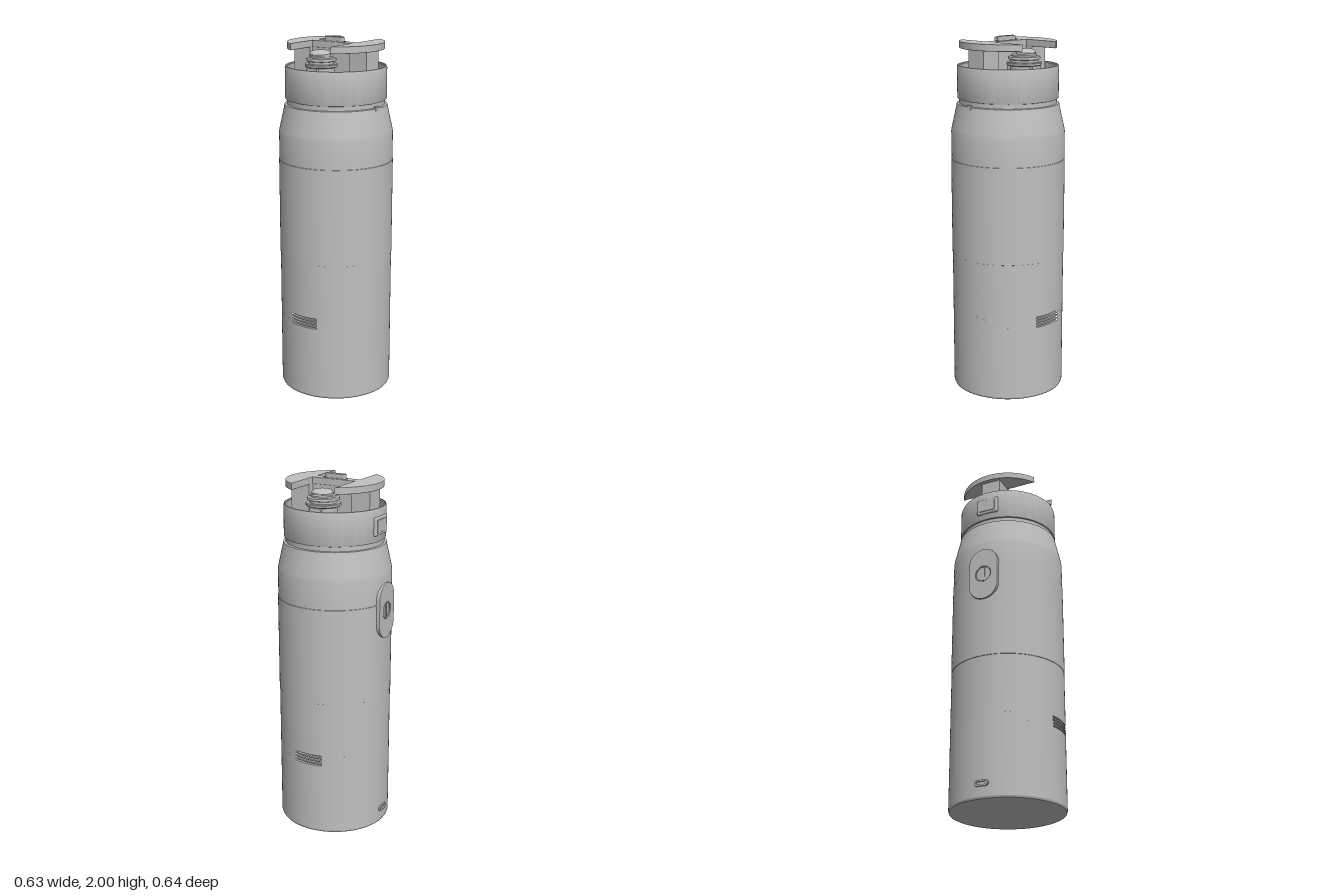
import * as THREE from 'three';
import { toCreasedNormals } from 'three/addons/utils/BufferGeometryUtils.js';
import { RoundedBoxGeometry } from 'three/addons/geometries/RoundedBoxGeometry.js';

const grey = new THREE.MeshStandardMaterial({ color: 0xc0c0c0 });
grey.name = 'satin grey';

const R = 0.315;

function add(parent, name, geometry, x = 0, y = 0, z = 0) {
  const mesh = new THREE.Mesh(geometry, grey);
  mesh.name = name;
  mesh.position.set(x, y, z);
  parent.add(mesh);
  return mesh;
}

// Lathe with crisp edges; start and sweep are angles from the front
function turned(points, start = 0, sweep = Math.PI * 2, segments = 96) {
  const pts = points.map(([r, y]) => new THREE.Vector2(r, y));
  return toCreasedNormals(new THREE.LatheGeometry(pts, segments, start, sweep), 0.35);
}

// Rounded bar outline, w by h with semicircular ends along the long side
function capsule(w, h, Type = THREE.Shape) {
  const r = Math.min(w, h) / 2, dx = w / 2 - r, dy = h / 2 - r;
  const s = new Type();
  if (h >= w) {
    s.absarc(0, dy, r, 0, Math.PI, false);
    s.absarc(0, -dy, r, Math.PI, Math.PI * 2, false);
  } else {
    s.absarc(dx, 0, r, -Math.PI / 2, Math.PI / 2, false);
    s.absarc(-dx, 0, r, Math.PI / 2, Math.PI * 1.5, false);
  }
  s.closePath();
  return s;
}

function slab(shape, depth, bevel = 0) {
  return new THREE.ExtrudeGeometry(shape, {
    depth: depth - 2 * bevel, curveSegments: 32, bevelEnabled: bevel > 0,
    bevelThickness: bevel, bevelSize: bevel, bevelOffset: -bevel, bevelSegments: 2,
  }).translate(0, 0, bevel);
}

// Stacked discs with a tilted oval tip
function earbud(parent, name, x, r, side) {
  const bud = new THREE.Group();
  bud.name = name;
  bud.position.x = x;
  parent.add(bud);
  add(bud, 'budBody', turned([
    [r * 0.8, 1.78], [r * 0.8, 1.85], [r * 0.96, 1.85], [r, 1.854], [r, 1.864], [r * 0.96, 1.868],
    [r * 0.78, 1.868], [r * 0.78, 1.88], [r * 0.9, 1.883], [r * 0.92, 1.89], [r * 0.9, 1.897],
    [r * 0.72, 1.9], [r * 0.72, 1.908], [r * 0.6, 1.915], [0, 1.915],
  ], 0, Math.PI * 2, 48));
  const tip = add(bud, 'budTip', turned([
    [0.9, -0.02], [1, -0.01], [1, 0.008], [0.9, 0.015], [0.8, 0.017], [0, 0.019],
  ], 0, Math.PI * 2, 40), side * 0.012, 1.917, 0);
  tip.scale.set(0.045, 1, 0.061);
  tip.rotation.z = -side * 0.15;
}

export function createModel() {
  const model = new THREE.Group();
  model.name = 'bottleCase';
  const g = new THREE.Group();
  g.name = 'case';
  g.position.z = 0.004;
  model.add(g);

  // Lower shell up to the vents
  const ventY = [0.418, 0.435, 0.452, 0.469], ventH = 0.009, half = 0.272;
  add(g, 'lowerBody', turned([
    [0, 0], [R - 0.012, 0], [R - 0.004, 0.004], [R, 0.014], [R, ventY[0]],
  ]));

  // Vent rows: recessed slots on both sides, solid wall elsewhere
  ventY.forEach((y, i) => {
    const top = y + ventH, next = ventY[i + 1] ?? 0.5;
    for (const a of [Math.PI / 2, Math.PI * 1.5]) {
      add(g, 'ventSlot', turned([[R, y], [R - 0.014, y], [R - 0.014, top], [R, top]], a - half, half * 2, 16));
      add(g, 'ventWall', turned([[R, y], [R, top]], a + half, Math.PI - half * 2, 40));
    }
    add(g, 'ventRib', turned([[R, top], [R, next]]));
  });

  // Main body with slightly raised sleeve, shoulder, groove, collar and hollow top
  add(g, 'upperBody', turned([
    [R, 0.5], [R, 0.79], [R + 0.002, 0.791], [R + 0.002, 1.329], [R, 1.33], [R, 1.48],
    [0.312, 1.5], [0.286, 1.615], [0.282, 1.636], [0.27, 1.638], [0.27, 1.662],
  ]));
  add(g, 'collar', turned([
    [0.27, 1.662], [0.277, 1.664], [0.279, 1.67], [0.279, 1.835], [0.276, 1.844], [0.272, 1.846],
    [0.271, 1.84], [0.266, 1.838], [0.266, 1.78], [0, 1.78],
  ]));
  add(g, 'frontCatch', new THREE.BoxGeometry(0.03, 0.024, 0.02), -0.015, 1.634, 0.275);

  // Lid plate: disc with a square bay cut from each side
  const lidR = 0.266, a = Math.asin(0.13 / lidR);
  const lid = new THREE.Shape();
  lid.absarc(0, 0, lidR, a, Math.PI - a, false);
  lid.lineTo(-0.04, 0.13);
  lid.lineTo(-0.04, -0.13);
  lid.absarc(0, 0, lidR, Math.PI + a, Math.PI * 2 - a, false);
  lid.lineTo(0.017, -0.13);
  lid.lineTo(0.017, 0.13);
  lid.closePath();
  add(g, 'lidPlate', slab(lid, 0.037, 0.003), 0, 1.937, 0).rotation.x = -Math.PI / 2;

  // Supports under the lid
  for (const s of [1, -1]) {
    add(g, 'lidSupport', new THREE.BoxGeometry(0.115, 0.16, 0.11), -0.002, 1.86, s * 0.186);
  }
  add(g, 'bridgeWall', new THREE.BoxGeometry(0.05, 0.16, 0.27), -0.012, 1.86, 0);

  // Handle ridge with its border on the bridge
  const border = capsule(0.042, 0.142);
  border.holes.push(capsule(0.032, 0.132, THREE.Path));
  add(g, 'ridgeBorder', slab(border, 0.004), -0.012, 1.973, 0).rotation.x = -Math.PI / 2;
  add(g, 'handleRidge', slab(capsule(0.03, 0.126), 0.03, 0.003), -0.012, 1.97, 0).rotation.x = -Math.PI / 2;

  // Earbuds with their holding tabs
  earbud(g, 'rightEarbud', -0.133, 0.088, -1);
  earbud(g, 'leftEarbud', 0.122, 0.095, 1);
  for (const x of [-0.212, 0.205]) {
    add(g, 'outerTab', new THREE.BoxGeometry(0.018, 0.07, 0.066), x, 1.815, 0);
  }
  for (const x of [-0.049, 0.024]) {
    add(g, 'innerTab', new THREE.BoxGeometry(0.02, 0.08, 0.034), x, 1.82, 0);
  }

  // Release button on the back of the collar
  add(g, 'releaseButton', new RoundedBoxGeometry(0.13, 0.1, 0.03, 3, 0.008), 0, 1.75, -0.27);
  add(g, 'buttonFace', new RoundedBoxGeometry(0.095, 0.07, 0.008, 2, 0.003), 0, 1.75, -0.284);

  // Back panel with a round window, ring and bar
  const panel = capsule(0.172, 0.31);
  panel.holes.push(new THREE.Path().absarc(0, 0, 0.047, 0, Math.PI * 2, true));
  add(g, 'backPanel', slab(panel, 0.036, 0.003), 0, 1.285, -0.325);
  add(g, 'windowRing', new THREE.TorusGeometry(0.047, 0.004, 8, 40), 0, 1.285, -0.322);
  add(g, 'windowBar', new THREE.BoxGeometry(0.014, 0.08, 0.01), 0, 1.285, -0.317);

  // Charging port near the base
  const port = capsule(0.08, 0.034);
  port.holes.push(capsule(0.058, 0.014, THREE.Path));
  add(g, 'chargingPort', slab(port, 0.014, 0.002), 0, 0.085, -0.322);
  return model;
}
